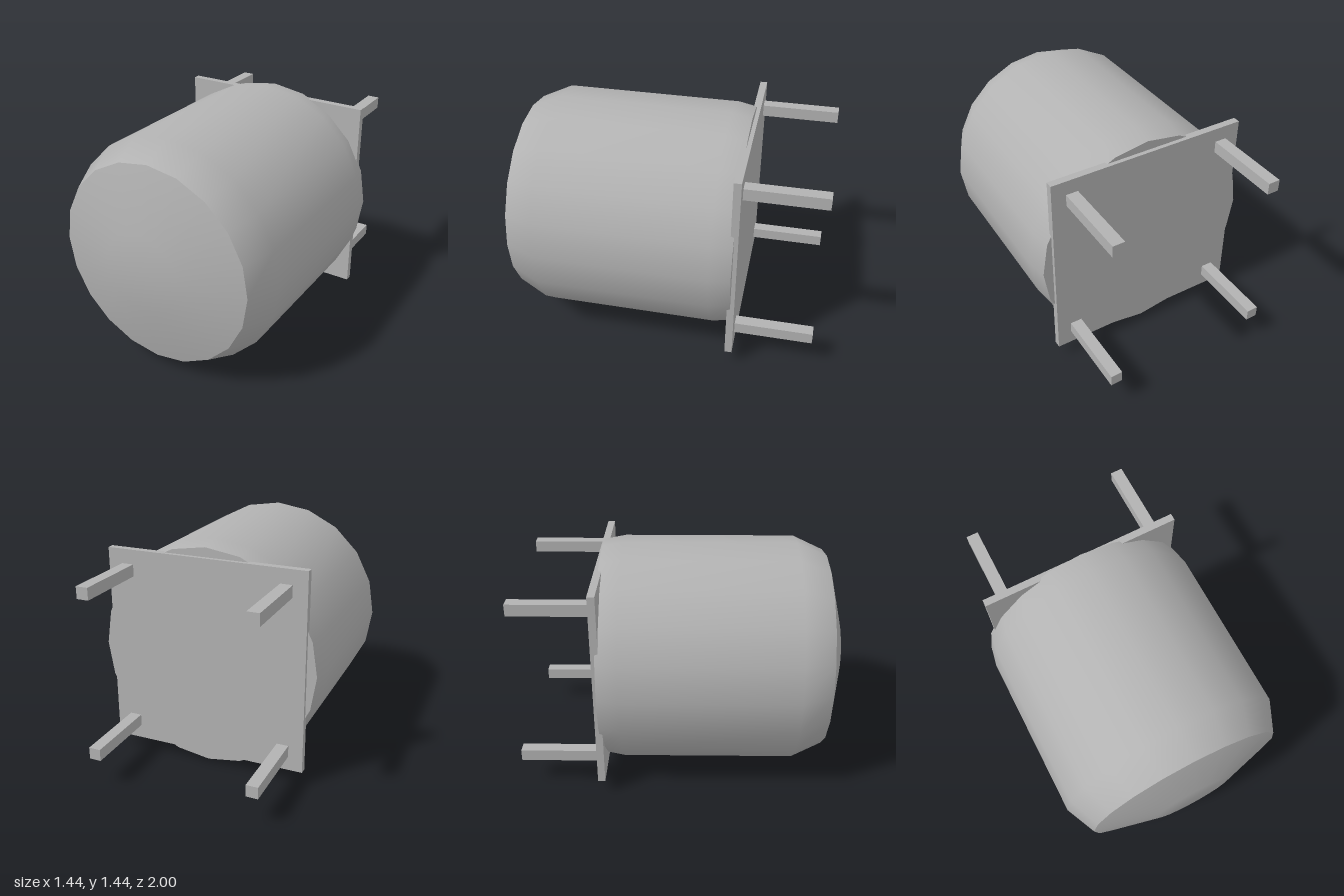
import * as THREE from 'three';

const CENTRE_Y = 0.72;
const SIDES = 20;

export function createModel() {
  const model = new THREE.Group();
  const grey = new THREE.MeshStandardMaterial({ color: 0xb2b2b2 });
  grey.name = 'grey';

  const add = (name, geometry, x, y, z) => {
    const mesh = new THREE.Mesh(geometry, grey);
    mesh.name = name;
    mesh.position.set(x, y, z);
    model.add(mesh);
  };

  // Surface of revolution about z, from [radius, z] points running back to front
  const turned = (points) =>
    new THREE.LatheGeometry(points.map(([r, z]) => new THREE.Vector2(r, z)), SIDES).rotateX(Math.PI / 2);

  // Barrel in three sections, with hard rims between them
  add('barrel', turned([[0.695, -0.49], [0.72, -0.36], [0.72, 0.71], [0.633, 0.9]]), 0, CENTRE_Y, 0);
  add('frontDome', turned([[0.633, 0.9], [0.25, 1], [0, 1]]), 0, CENTRE_Y, 0);
  add('backCap', turned([[0, -0.49], [0.695, -0.49]]), 0, CENTRE_Y, 0);

  // Square plate set into the back of the barrel
  add('backPlate', new THREE.BoxGeometry(1.265, 1.265, 0.045), 0, CENTRE_Y + 0.003, -0.4925);

  // Four mounting pegs
  for (const sx of [-1, 1]) {
    for (const sy of [-1, 1]) {
      add('mountingPeg', new THREE.BoxGeometry(0.074, 0.074, 0.49), sx * 0.505, CENTRE_Y + 0.003 + sy * 0.505, -0.755);
    }
  }

  return model;
}
